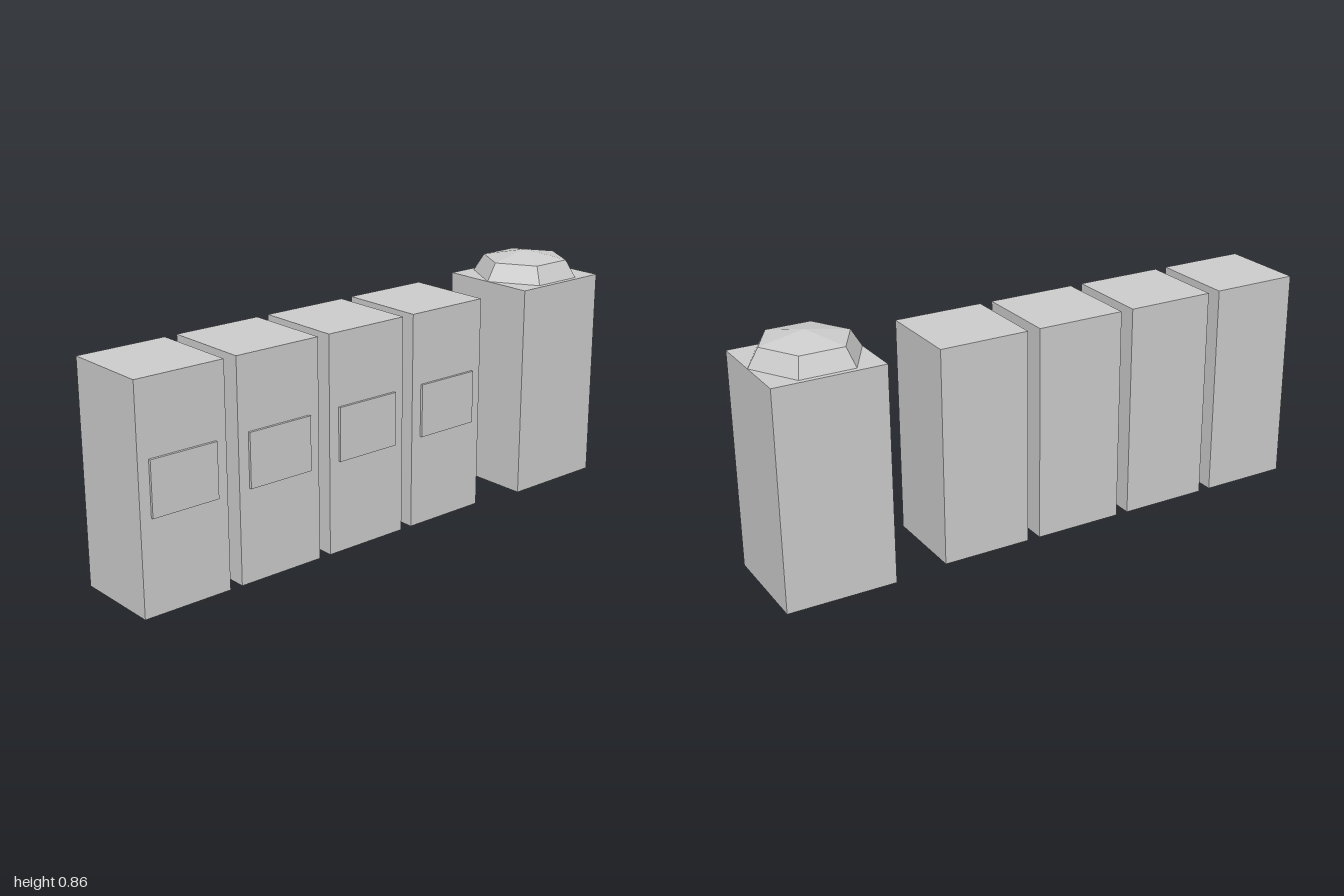
import * as THREE from 'three';

const HEIGHT = 0.767;

// Box standing on the ground with no bottom face
function openBox(w, h, d) {
  const geo = new THREE.BoxGeometry(w, h, d);
  const index = Array.from(geo.index.array);
  index.splice(18, 6); // the downward side
  geo.setIndex(index);
  geo.clearGroups();
  geo.translate(0, h / 2, 0);
  return geo;
}

export function createModel() {
  const model = new THREE.Group();
  const grey = new THREE.MeshStandardMaterial({ color: 0xcccccc, side: THREE.DoubleSide, flatShading: true });
  grey.name = 'light grey';

  const add = (name, geo, parent, x = 0, y = 0, z = 0) => {
    const mesh = new THREE.Mesh(geo, grey);
    mesh.name = name;
    mesh.position.set(x, y, z);
    parent.add(mesh);
  };

  // Row of four cabinets, each with a thin front panel
  const width = 0.321, depth = 0.317, panelThickness = 0.009;
  for (let i = 0; i < 4; i++) {
    const cabinet = new THREE.Group();
    cabinet.name = 'cabinet' + (i + 1);
    cabinet.position.x = -1 + width / 2 + i * 0.3665;
    add('cabinetBody', openBox(width, HEIGHT, depth), cabinet);
    add('frontPanel', new THREE.BoxGeometry(0.243, 0.189, panelThickness), cabinet,
      0, 0.419, depth / 2 + panelThickness / 2);
    model.add(cabinet);
  }

  // Separate pedestal with a six-sided faceted dome
  const pedestal = new THREE.Group();
  pedestal.name = 'pedestal';
  pedestal.position.x = 0.807;
  add('pedestalBody', openBox(0.384, HEIGHT, 0.368), pedestal);
  const rim = 0.063, peak = 0.03;
  add('domeSides', new THREE.CylinderGeometry(0.154, 0.192, rim, 6, 1, true, Math.PI / 2),
    pedestal, 0, HEIGHT + rim / 2);
  add('domeTop', new THREE.ConeGeometry(0.154, peak, 6, 1, true, Math.PI / 2),
    pedestal, 0, HEIGHT + rim + peak / 2);
  model.add(pedestal);

  return model;
}
